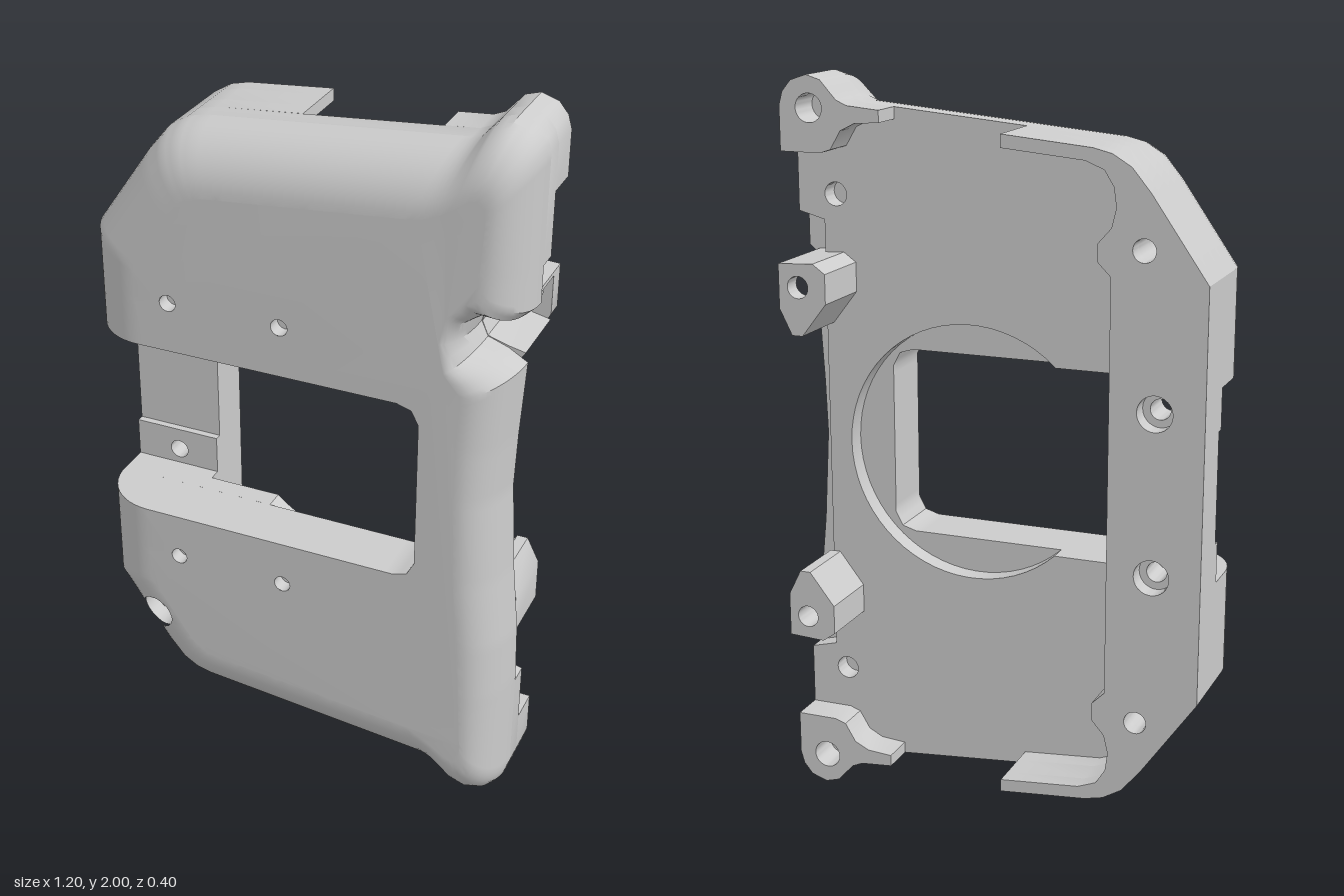
import * as THREE from 'three';
import { mergeGeometries, toCreasedNormals } from 'three/addons/utils/BufferGeometryUtils.js';

const V = (x, y) => new THREE.Vector2(x, y);
const mat = new THREE.MeshStandardMaterial({ color: 0xcccccc });
const thin = new THREE.MeshStandardMaterial({ color: 0xcccccc, side: THREE.DoubleSide });
const flip = (pts) => pts.map(([x, y, ...r]) => (r.length ? [x, 2 - y, r[0], 2 - r[1]] : [x, 2 - y])).reverse();

// Rows: outer edge x, y, then where its rounding meets the flat face x, y
const leftTop = [
  [-0.3, 1.862, -0.25, 1.71], [-0.35, 1.85, -0.275, 1.705], [-0.4, 1.82, -0.3, 1.69],
  [-0.45, 1.76, -0.325, 1.66], [-0.6, 1.545, -0.44, 1.49], [-0.6, 1.26, -0.44, 1.26],
];
const lobe = [
  [0.595, 1.63, 0.49, 1.65], [0.595, 1.92, 0.5, 1.81], [0.585, 1.955, 0.495, 1.83], [0.56, 1.985, 0.485, 1.84],
  [0.515, 2, 0.47, 1.84], [0.475, 1.988, 0.44, 1.825], [0.45, 1.96, 0.4, 1.795],
  [0.43, 1.938, 0.37, 1.78], [0.4, 1.925, 0.33, 1.765],
];
const notch = [
  [0.56, 1.15, 0.45, 1.15], [0.572, 1.36, 0.46, 1.31], [0.52, 1.39, 0.44, 1.34], [0.465, 1.41, 0.41, 1.37],
  [0.447, 1.45, 0.395, 1.45], [0.458, 1.49, 0.41, 1.52], [0.5, 1.515, 0.46, 1.57], [0.57, 1.507, 0.48, 1.57],
  [0.595, 1.53, 0.49, 1.6], [0.595, 1.61, 0.49, 1.63],
];
const rightLow = [[0.595, 0.39, 0.49, 0.37], [0.59, 0.55, 0.48, 0.55], [0.57, 0.75, 0.46, 0.75], [0.555, 1, 0.45, 1]];
const rim = [...flip(leftTop), ...flip(lobe), ...rightLow, ...notch, ...lobe, ...leftTop];
const windowEdge = [[0.29, 1.26], [0.33, 1.248], [0.35, 1.21], [0.35, 0.79], [0.33, 0.752], [0.29, 0.74]]
  .map(([x, y]) => [x, y, x, y]);

function shape(pts, holes = []) {
  const s = new THREE.Shape(pts.map(([x, y]) => V(x, y)));
  for (const [x, y, r] of holes) {
    const h = new THREE.Path();
    h.absarc(x, y, r, 0, Math.PI * 2, true);
    s.holes.push(h);
  }
  return s;
}

function mesh(parent, name, geo, m = mat) {
  const o = new THREE.Mesh(geo, m);
  o.name = name;
  parent.add(o);
  return o;
}

// Straight slab between two depths
function slab(parent, name, pts, z0, z1, holes) {
  const g = new THREE.ExtrudeGeometry(shape(pts, holes), { depth: z1 - z0, bevelEnabled: false, curveSegments: 16 });
  g.translate(0, 0, z0);
  return mesh(parent, name, toCreasedNormals(g, 0.6));
}

// Open lining of a round hole, with a floor if wanted
function lining(parent, name, x, y, r, z0, z1, floor = true, tilt = 0) {
  const g = new THREE.CylinderGeometry(r, r, z1 - z0, 24, 1, true).rotateX(Math.PI / 2);
  const p = g.attributes.position;
  for (let i = 0; i < p.count; i++) {
    if (p.getZ(i) > 0) p.setZ(i, p.getZ(i) + tilt * (0.83 * p.getX(i) + 0.56 * p.getY(i)));
  }
  mesh(parent, name, g.translate(x, y, (z0 + z1) / 2), thin);
  if (floor) mesh(parent, name + 'Floor', new THREE.CircleGeometry(r, 24).translate(x, y, z0), thin);
}

const bolt = { x: -0.435, y: 0.38, r: 0.053 };
const Z0 = 0.04, RISE = 0.16;

// Rounded front cover: loops run from the outer edge up to the flat face
function coverGeometry(screws) {
  const keys = [...rim, ...windowEdge], loop = [];
  keys.forEach((a, i) => {
    const b = keys[(i + 1) % keys.length];
    const n = Math.ceil(Math.hypot(b[0] - a[0], b[1] - a[1]) / 0.022);
    for (let k = 0; k < n; k++) loop.push(a.map((v, j) => v + ((b[j] - v) * k) / n));
  });
  const L = 12, n = loop.length, pos = [], snapped = [], tri = [];
  for (let l = 0; l <= L; l++) {
    const t = (l / L) * Math.PI / 2, u = 1 - Math.cos(t);
    for (const [ox, oy, ix, iy] of loop) {
      let x = ox + (ix - ox) * u, y = oy + (iy - oy) * u;
      const dx = x - bolt.x, dy = y - bolt.y, d = Math.hypot(dx, dy);
      const inside = d < bolt.r && d > 0;
      // open the round bolt hole in the curved edge
      if (inside) { x = bolt.x + dx * bolt.r / d; y = bolt.y + dy * bolt.r / d; }
      snapped.push(inside);
      pos.push(x, y, Z0 + RISE * Math.sin(t));
    }
  }
  const add = (a, b, c) => { if (!(snapped[a] && snapped[b] && snapped[c])) tri.push(a, b, c); };
  for (let l = 0; l < L; l++) for (let i = 0; i < n; i++) {
    const j = (i + 1) % n, a = l * n + i, b = l * n + j;
    add(a, b, b + n);
    add(a, b + n, a + n);
  }
  const band = new THREE.BufferGeometry();
  band.setAttribute('position', new THREE.Float32BufferAttribute(pos, 3));
  band.setIndex(tri);
  const face = new THREE.ShapeGeometry(shape(loop.map((p) => [p[2], p[3]]), screws), 16).translate(0, 0, Z0 + RISE);
  const back = new THREE.ShapeGeometry(shape(loop, [[bolt.x, bolt.y, 0.03]]), 16).scale(1, 1, -1).translate(0, 0, Z0);
  const ix = back.index.array;
  for (let i = 0; i < ix.length; i += 3) [ix[i], ix[i + 1]] = [ix[i + 1], ix[i]];
  const parts = [band, face, back].map((g) => {
    const f = g.toNonIndexed();
    f.deleteAttribute('uv');
    f.deleteAttribute('normal');
    return f;
  });
  const out = mergeGeometries(parts);
  out.computeVertexNormals();
  return toCreasedNormals(out, 0.6);
}

export function createModel() {
  const g = new THREE.Group();
  g.name = 'faceplate';

  // Front cover with shallow screw holes and one counterbored bolt hole
  const screws = [];
  for (const x of [-0.345, -0.03]) for (const y of [1.4, 0.61]) screws.push([x, y, 0.023]);
  mesh(g, 'frontCover', coverGeometry(screws));
  for (const [x, y, r] of screws) lining(g, 'screwHole', x, y, r, 0.16, 0.2);
  lining(g, 'boltCounterbore', bolt.x, bolt.y, bolt.r, 0.1, 0.174, false, 0.45);
  mesh(g, 'boltSeat', new THREE.RingGeometry(0.03, bolt.r, 24).translate(bolt.x, bolt.y, 0.1), thin);
  lining(g, 'boltHole', bolt.x, bolt.y, 0.03, Z0, 0.1, false);

  // Back plate: set in along the grip side, with a round recess about the window
  const back = rim.map(([x, y]) => [y > 0.38 && y < 1.62 ? Math.min(x, 0.52) : x, y]);
  const end = Math.atan2(0.26, -0.242);
  for (let i = 0; i <= 48; i++) {
    const a = end * (1 - i / 24);
    back.push([0.1 + 0.355 * Math.cos(a), 1 + 0.355 * Math.sin(a)]);
  }
  slab(g, 'backPlate', back, -0.015, Z0, [[0.485, 1.68, 0.032], [0.485, 0.32, 0.032], [bolt.x, bolt.y, 0.03]]);

  // Side bar with thin arms wrapping the top and bottom
  const arm = [
    [-0.35, 1.55], [-0.315, 1.585], [-0.315, 1.63], [-0.35, 1.67], [-0.362, 1.72], [-0.355, 1.77],
    [-0.33, 1.81], [-0.28, 1.83], [-0.06, 1.85], [-0.06, 1.884], ...leftTop.map(([x, y]) => [x, y]),
  ];
  const upper = [[-0.35, 1.26], ...arm];
  const bar = [...arm, ...flip(arm)];
  const barHoles = (r) => [[-0.47, 1.215, r], [-0.47, 0.785, r], [bolt.x, 1.62, 0.03], [bolt.x, bolt.y, 0.03]];
  slab(g, 'sideBarBack', bar, -0.2, -0.15, barHoles(0.047));
  slab(g, 'sideBarFront', bar, -0.15, -0.07, barHoles(0.027));
  const pad = [[-0.6, 1.15], [-0.35, 1.15], [-0.35, 1.26], [-0.6, 1.26]];
  for (const [side, m] of [['upper', (p) => p], ['lower', flip]]) {
    const up = side === 'upper', Y = (y) => (up ? y : 2 - y);
    slab(g, side + 'Arm', m(upper), -0.07, -0.015, [[bolt.x, Y(1.62), 0.03]]);
    slab(g, side + 'BarPad', m(pad), -0.07, -0.05, [[-0.47, Y(1.215), 0.027]]);

    // Corner boss with a tail along the edge
    const corner = [
      [0.31, 1.917], [0.31, 1.885], [0.38, 1.88], [0.42, 1.86], [0.45, 1.81], [0.48, 1.8], [0.595, 1.8],
      ...lobe.slice(1).map(([x, y]) => [x, y]),
    ];
    slab(g, side + 'CornerBoss', m(corner), -0.11, -0.015, [[0.51, Y(1.915), 0.038]]);

    // Pointed screw post on the grip side
    const post = [
      [0.43, 1.5], [0.43, 1.42], [0.5, 1.33], [0.53, 1.33], [0.565, 1.4], [0.565, 1.52], [0.465, 1.525],
    ];
    slab(g, side + 'Post', m(post), -0.2, up ? -0.15 : -0.015, [[0.51, Y(1.46), 0.03]]);
  }

  // Channel walls leading from the cover notch to the upper post
  const channel = [
    [0.43, 1.5], [0.43, 1.42], [0.5, 1.33], [0.53, 1.33], [0.565, 1.385], [0.52, 1.395], [0.465, 1.412],
    [0.449, 1.45], [0.46, 1.49], [0.5, 1.513], [0.565, 1.508], [0.565, 1.52], [0.465, 1.525],
  ];
  slab(g, 'postChannel', channel, -0.15, Z0);
  return g;
}
